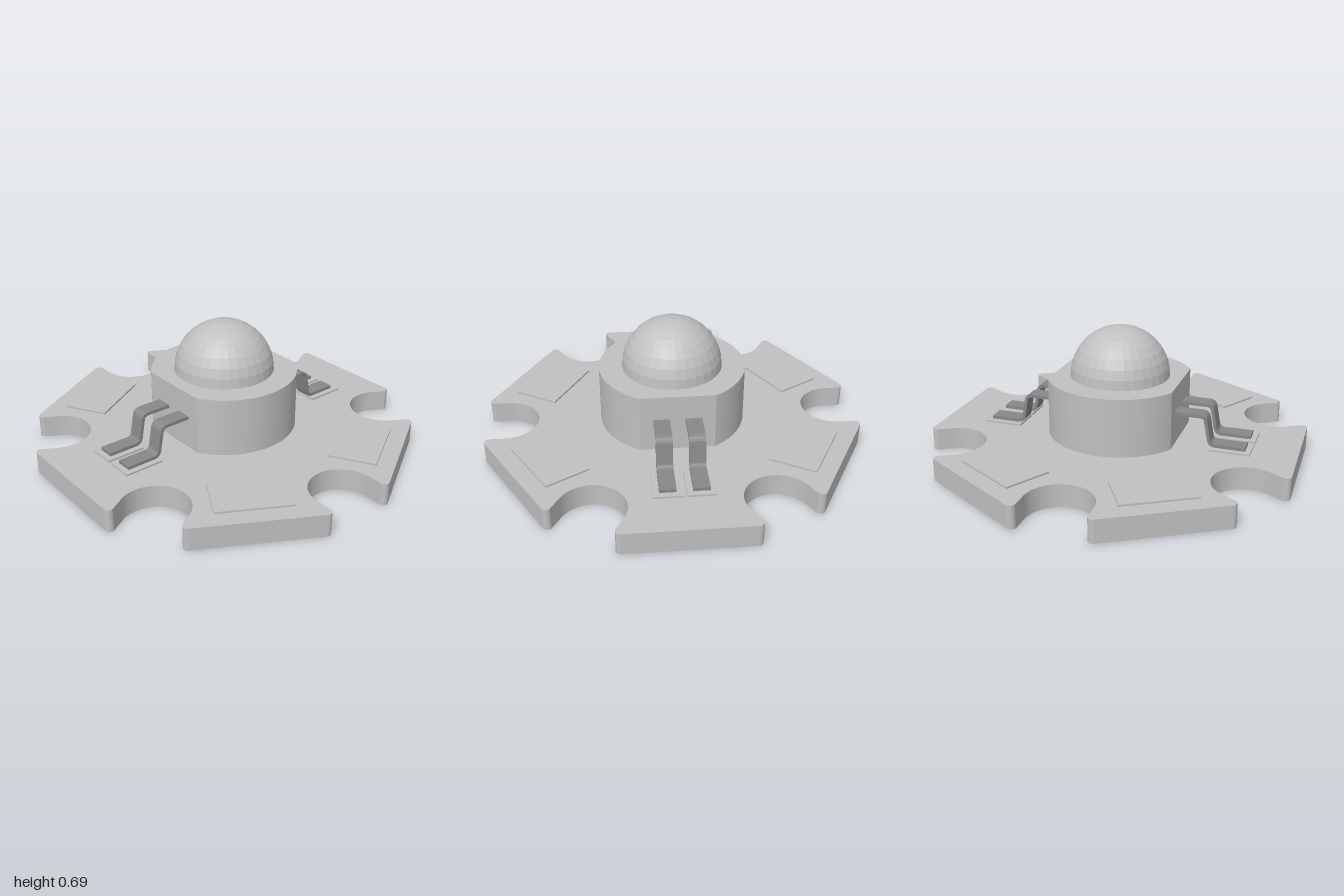
import * as THREE from 'three';

const lightGrey = new THREE.MeshStandardMaterial({ color: 0xc0c0c0 });
lightGrey.name = 'lightGrey';
const leadGrey = new THREE.MeshStandardMaterial({ color: 0x888888 });
leadGrey.name = 'leadGrey';

const BOARD_TOP = 0.12, PAD_TOP = 0.13, BODY_TOP = 0.43;

function addMesh(parent, name, geometry, material) {
  const mesh = new THREE.Mesh(geometry, material);
  mesh.name = name;
  parent.add(mesh);
  return mesh;
}

// Extrudes a plan shape upwards between two heights
function slab(shape, y0, y1, curveSegments) {
  const g = new THREE.ExtrudeGeometry(shape, { depth: y1 - y0, bevelEnabled: false, curveSegments });
  return g.rotateX(-Math.PI / 2).translate(0, y0, 0);
}

// Hexagon with a round-bottomed notch and two rounded tips at every corner
function boardShape() {
  const shape = new THREE.Shape();
  const notchR = 0.172, notchAt = 0.895, tipR = 0.025, tipX = notchR + tipR, tipY = 0.975;
  for (let k = 0; k < 6; k++) {
    const a = k * Math.PI / 3, c = Math.cos(a), s = Math.sin(a);
    const arc = (x, y, r, from, to, clockwise) =>
      shape.absarc(x * c - y * s, x * s + y * c, r, from + a, to + a, clockwise);
    arc(tipX, tipY, tipR, Math.PI / 3, Math.PI, false);
    arc(0, notchAt, notchR, 0, -Math.PI, true);
    arc(-tipX, tipY, tipR, 0, Math.PI * 2 / 3, false);
  }
  return shape;
}

// Circle with two flats facing the leads
function bodyShape() {
  const r = 0.387, a = Math.acos(0.335 / r);
  const shape = new THREE.Shape();
  shape.absarc(0, 0, r, a, Math.PI - a, false);
  shape.absarc(0, 0, r, Math.PI + a, 2 * Math.PI - a, false);
  return shape;
}

// Bent strip: a centre line thickened to both sides, then extruded across its width
function leadGeometry(width) {
  const half = 0.0085, top = 0.291, foot = PAD_TOP + half;
  const path = new THREE.Path();
  path.moveTo(0.32, top);
  path.lineTo(0.465, top);
  path.quadraticCurveTo(0.494, top, 0.498, top - 0.028);
  path.lineTo(0.516, foot + 0.028);
  path.quadraticCurveTo(0.521, foot, 0.55, foot);
  path.lineTo(0.705, foot);
  const pts = path.getPoints(5);
  const upper = [], lower = [];
  pts.forEach((p, i) => {
    const before = pts[Math.max(i - 1, 0)], after = pts[Math.min(i + 1, pts.length - 1)];
    const t = after.clone().sub(before).normalize();
    upper.push(new THREE.Vector2(p.x - t.y * half, p.y + t.x * half));
    lower.push(new THREE.Vector2(p.x + t.y * half, p.y - t.x * half));
  });
  const outline = new THREE.Shape([...lower, ...upper.reverse()]);
  return new THREE.ExtrudeGeometry(outline, { depth: width, bevelEnabled: false })
    .translate(0, 0, -width / 2);
}

export function createModel() {
  const model = new THREE.Group();
  model.name = 'starBoardLamp';

  addMesh(model, 'board', slab(boardShape(), 0, BOARD_TOP, 14), lightGrey);
  addMesh(model, 'body', slab(bodyShape(), BOARD_TOP, BODY_TOP, 14), lightGrey);

  // Faceted hemispherical lens
  const dome = new THREE.SphereGeometry(0.265, 32, 8, 0, Math.PI * 2, 0, Math.PI / 2).toNonIndexed();
  dome.computeVertexNormals();
  addMesh(model, 'lens', dome, lightGrey).position.y = BODY_TOP;

  // Four large solder pads, parallel to the diagonal board edges
  const padHeight = PAD_TOP - BOARD_TOP;
  const padGeometry = new THREE.BoxGeometry(0.246, padHeight, 0.383);
  for (const deg of [60, 120, 240, 300]) {
    const a = THREE.MathUtils.degToRad(deg);
    const pad = addMesh(model, 'solderPad', padGeometry, lightGrey);
    pad.position.set(0.755 * Math.cos(a), BOARD_TOP + padHeight / 2, -0.755 * Math.sin(a));
    pad.rotation.y = a;
  }

  // Two bent leads with their small pads on each side
  const lead = leadGeometry(0.084);
  const leadPad = new THREE.BoxGeometry(0.21, padHeight, 0.146);
  for (const turn of [0, Math.PI]) {
    const side = new THREE.Group();
    side.name = turn ? 'rightLeads' : 'leftLeads';
    side.rotation.y = turn;
    model.add(side);
    for (const z of [-0.082, 0.082]) {
      addMesh(side, 'lead', lead, leadGrey).position.z = z;
      addMesh(side, 'leadPad', leadPad, lightGrey).position.set(0.63, BOARD_TOP + padHeight / 2, z);
    }
  }
  return model;
}
